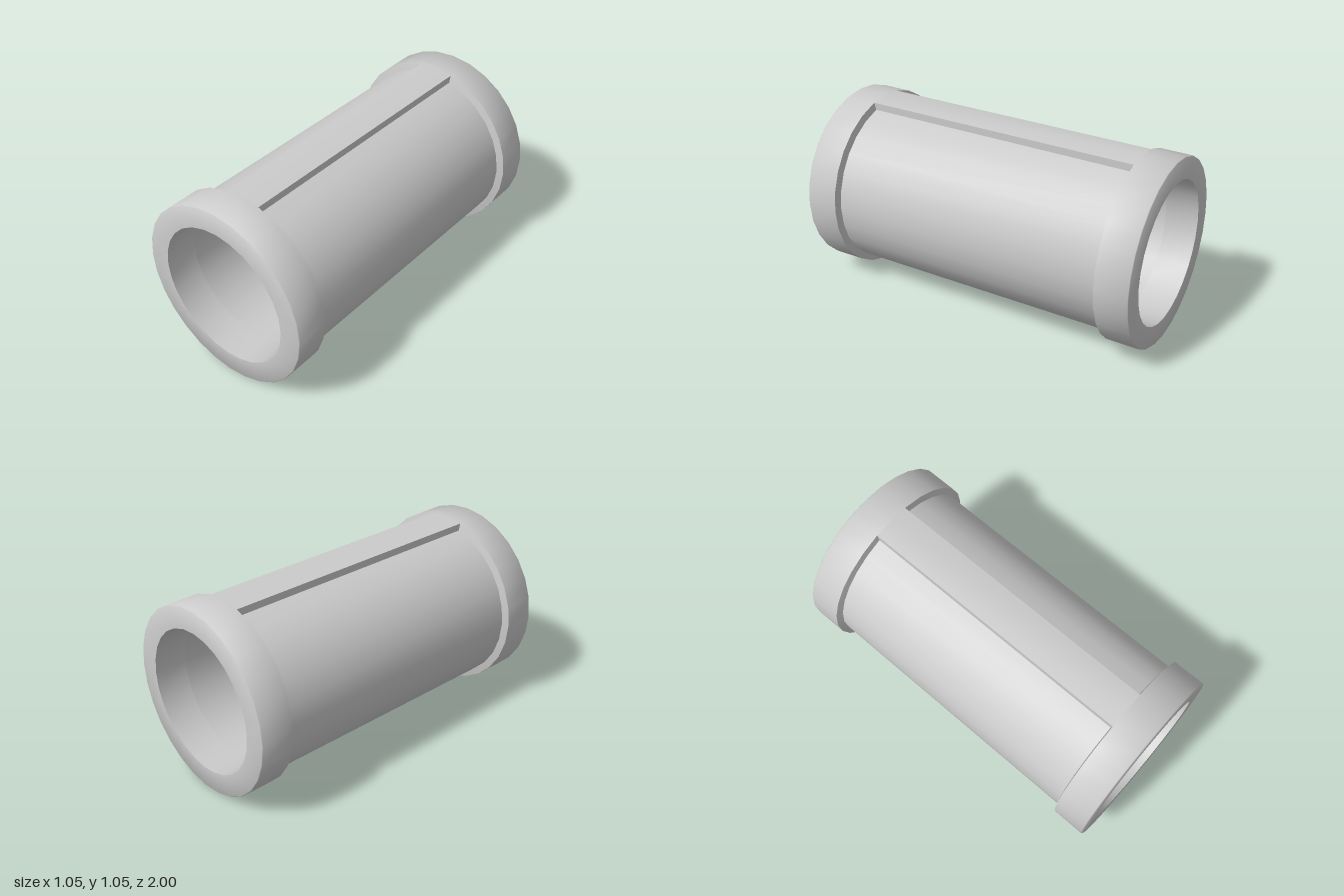
import * as THREE from 'three';
import { toCreasedNormals } from 'three/addons/utils/BufferGeometryUtils.js';

const SIDES = 28;
const OUTER = 0.527, FLOOR = 0.486, BORE = 0.403;
const CENTRE_Y = 0.528, RIM_Z = 0.81, STRIP = 0.11, CHAMFER = 0.004;

// point on a circle, k steps clockwise from the top
const ringPoint = (r, k) => {
  const a = (k / SIDES) * Math.PI * 2;
  return new THREE.Vector2(r * Math.sin(a), r * Math.cos(a));
};

// tube cross-section: raised strips above and below, sunken panels at the sides
function bodyShape() {
  const stripY = OUTER - STRIP * Math.tan(Math.PI / SIDES); // on the collar's first facet
  const floorY = Math.sqrt(FLOOR ** 2 - STRIP ** 2);
  const half = [
    new THREE.Vector2(0, OUTER),
    new THREE.Vector2(STRIP, stripY),
    new THREE.Vector2(STRIP, floorY),
  ];
  for (let k = 2; k <= SIDES / 2 - 2; k++) half.push(ringPoint(FLOOR, k));
  half.push(new THREE.Vector2(STRIP, -floorY), new THREE.Vector2(STRIP, -stripY));
  const otherHalf = half.map((p) => new THREE.Vector2(-p.x, -p.y));
  const shape = new THREE.Shape([...half, ...otherHalf]);

  // the hole runs the opposite way round, so its wall faces inwards
  const bore = [];
  for (let k = 0; k < SIDES; k++) bore.push(ringPoint(BORE, -k));
  shape.holes.push(new THREE.Path(bore));
  return shape;
}

export function createModel() {
  const model = new THREE.Group();
  model.name = 'tube';
  const material = new THREE.MeshStandardMaterial({ color: 0xcccccc });

  const add = (geometry, name, crease) => {
    const mesh = new THREE.Mesh(toCreasedNormals(geometry, crease), material);
    mesh.name = name;
    mesh.position.y = CENTRE_Y;
    model.add(mesh);
    return mesh;
  };

  // body between the collars
  const body = new THREE.ExtrudeGeometry(bodyShape(), {
    depth: RIM_Z * 2, bevelEnabled: false, steps: 1,
  });
  body.translate(0, 0, -RIM_Z);
  add(body, 'body', 0.5);

  // end collars: sloped inner shoulder, outer edge softly shaded over a fine chamfer
  const profile = [
    [FLOOR - 0.01, RIM_Z - 0.012], [OUTER, RIM_Z], [OUTER, 1 - CHAMFER],
    [OUTER - CHAMFER, 1], [BORE, 1], [BORE, RIM_Z],
  ].map(([r, z]) => new THREE.Vector2(r, z));
  const collar = new THREE.LatheGeometry(profile, SIDES);
  collar.rotateX(Math.PI / 2);
  add(collar, 'frontCollar', 0.9);
  add(collar, 'backCollar', 0.9).rotation.y = Math.PI;

  return model;
}
